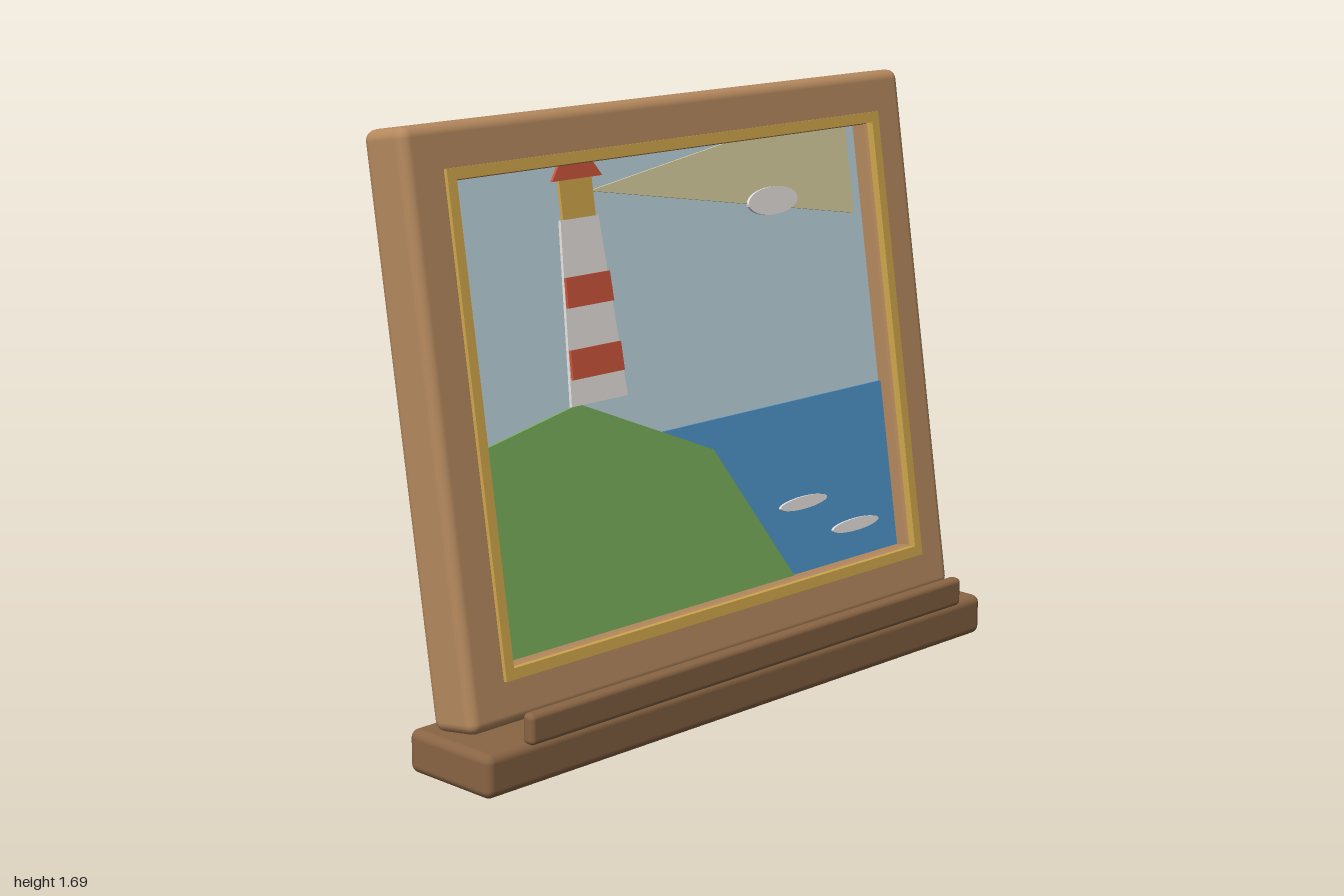
import * as THREE from 'three';
import { RoundedBoxGeometry } from 'three/addons/geometries/RoundedBoxGeometry.js';

const mat = (name, color) => {
  const m = new THREE.MeshStandardMaterial({ color });
  m.name = name;
  return m;
};

export function createModel() {
  const wood = mat('light wood', 0xb5895e);
  const darkWood = mat('dark wood', 0x8a6544);
  const gold = mat('gold', 0xd0a74c);
  const sky = mat('sky blue', 0xbdd5de);
  const sea = mat('sea blue', 0x4f95c9);
  const grass = mat('grass green', 0x7ab05c);
  const white = mat('white', 0xe4e1de);
  const red = mat('red', 0xcb553a);
  const light = mat('pale light', 0xdad0a0);

  const model = new THREE.Group();
  model.name = 'picture on stand';
  const add = (parent, name, geometry, material, x = 0, y = 0, z = 0) => {
    const mesh = new THREE.Mesh(geometry, material);
    mesh.name = name;
    mesh.position.set(x, y, z);
    parent.add(mesh);
    return mesh;
  };
  const rounded = (w, h, d, r) => new RoundedBoxGeometry(w, h, d, 3, r);

  // Stand: foot, front lip and six-sided rear strut
  add(model, 'base', rounded(2, 0.12, 0.31, 0.025), darkWood, 0, 0.08, 0.375);
  add(model, 'frontLip', rounded(1.74, 0.085, 0.04, 0.015), darkWood, 0, 0.1825, 0.535);
  const strut = add(model, 'rearStrut', new THREE.CylinderGeometry(0.04, 0.04, 1.36, 6),
    darkWood, 0, 0.645, -0.248);
  strut.rotation.x = 0.398;

  // Everything in the frame leans back together
  const lean = 0.157, centreY = 0.917;
  const picture = new THREE.Group();
  picture.name = 'leaningPicture';
  picture.position.set(0, centreY, 0.235);
  picture.rotation.x = -lean;
  model.add(picture);

  // Frame bars and raised gold trim
  const W = 1.93, H = 1.56, T = 0.16, bar = 0.152;
  for (const s of [-1, 1]) {
    add(picture, s > 0 ? 'frameTop' : 'frameBottom', rounded(W, bar, T, 0.03), wood,
      0, s * (H - bar) / 2, 0);
    add(picture, s > 0 ? 'frameLeft' : 'frameRight', rounded(bar, H - 0.07, T, 0.03), wood,
      s * (W - bar) / 2, 0, 0);
    add(picture, s > 0 ? 'trimTop' : 'trimBottom', new THREE.BoxGeometry(1.68, 0.03, 0.022), gold,
      0, s * 0.647, 0.08);
    add(picture, s > 0 ? 'trimLeft' : 'trimRight', new THREE.BoxGeometry(0.03, 1.264, 0.022), gold,
      s * 0.825, 0, 0.08);
  }

  // Sky board
  add(picture, 'skyBoard', new THREE.BoxGeometry(1.65, 1.28, 0.065), sky, 0, 0, -0.0225);

  // Thin layered plates, with heights measured upright and converted to the board
  const toBoard = (y) => (y - centreY - 0.004) / Math.cos(lean);
  const plate = (name, points, material, z) => {
    const shape = new THREE.Shape(points.map(([x, y]) => new THREE.Vector2(x, toBoard(y))));
    const geometry = new THREE.ExtrudeGeometry(shape, { depth: 0.009, bevelEnabled: false });
    return add(picture, name, geometry, material, 0, 0, z);
  };
  const trapezoid = (name, x, y0, y1, half0, half1, material, z) =>
    plate(name, [[x - half0, y0], [x + half0, y0], [x + half1, y1], [x - half1, y1]], material, z);
  const oval = (name, x, y, rx, ry, z) => {
    const shape = new THREE.Shape().absellipse(x, toBoard(y), rx, ry, 0, Math.PI * 2);
    const geometry = new THREE.ExtrudeGeometry(shape,
      { depth: 0.009, bevelEnabled: false, curveSegments: 16 });
    add(picture, name, geometry, white, 0, 0, z);
  };

  // Sea and hill
  plate('sea', [[-0.82, 0.27], [0.82, 0.27], [0.82, 0.79], [-0.82, 0.79]], sea, 0.01);
  plate('hill', [[-0.82, 0.27], [0.363, 0.27], [0.07, 0.71], [-0.12, 0.79],
    [-0.42, 0.915], [-0.82, 0.843]], grass, 0.0185);

  // Light beam, cloud and foam
  plate('lightBeam', [[-0.285, 1.465], [0.77, 1.29], [0.77, 1.613]], light, 0.01);
  oval('cloud', 0.42, 1.363, 0.103, 0.04, 0.0185);
  oval('foamFar', 0.417, 0.498, 0.1, 0.018, 0.0185);
  oval('foamNear', 0.63, 0.395, 0.102, 0.018, 0.0185);

  // Lighthouse
  const lx = -0.35;
  trapezoid('tower', lx, 0.912, 1.4, 0.105, 0.07, white, 0.027);
  trapezoid('lowerBand', lx, 0.982, 1.06, 0.096, 0.093, red, 0.0355);
  trapezoid('upperBand', lx, 1.17, 1.25, 0.085, 0.081, red, 0.0355);
  trapezoid('lantern', lx, 1.398, 1.508, 0.06, 0.06, gold, 0.027);
  trapezoid('roof', lx, 1.503, 1.6, 0.092, 0.02, red, 0.0355);

  return model;
}
